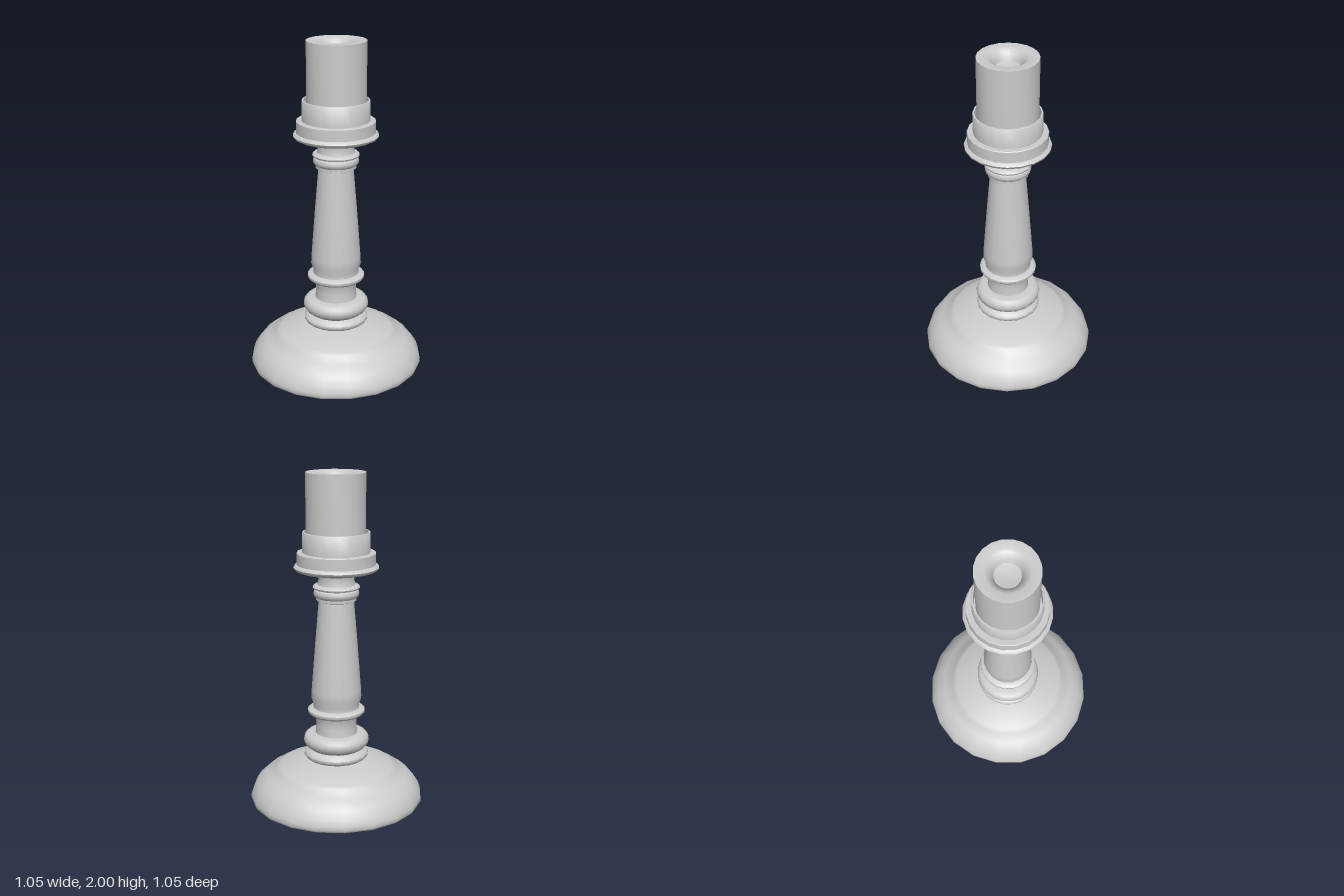
import * as THREE from 'three';
import { toCreasedNormals } from 'three/addons/utils/BufferGeometryUtils.js';

const SIDES = 20;

// Turns a [radius, height] profile, listed bottom to top on the outside
function turn(name, profile, material) {
  const points = profile.map(([r, y]) => new THREE.Vector2(r, y));
  const geometry = toCreasedNormals(new THREE.LatheGeometry(points, SIDES), 0.75);
  const mesh = new THREE.Mesh(geometry, material);
  mesh.name = name;
  return mesh;
}

export function createModel() {
  const group = new THREE.Group();
  group.name = 'candlestick';
  const material = new THREE.MeshStandardMaterial({ color: 0xcccccc, side: THREE.DoubleSide });

  // Domed foot with a rounded rim and a shallow hollow underneath
  group.add(turn('foot', [
    [0, 0.1], [0.2, 0.092], [0.34, 0.07], [0.42, 0.042], [0.46, 0.018], [0.485, 0.006],
    [0.505, 0], [0.52, 0.006], [0.527, 0.02], [0.525, 0.042], [0.511, 0.08], [0.482, 0.125],
    [0.43, 0.17], [0.376, 0.197], [0.37, 0.208], [0.345, 0.22],
    [0.19, 0.272], [0.14, 0.274],
  ], material));

  // Two rounded rings at the bottom of the stem
  group.add(turn('lowerRing', [
    [0.14, 0.268], [0.172, 0.27], [0.187, 0.28], [0.195, 0.292], [0.195, 0.306],
    [0.183, 0.32], [0.155, 0.334],
  ], material));
  group.add(turn('stemBulge', [
    [0.14, 0.33], [0.16, 0.334], [0.182, 0.35], [0.196, 0.37], [0.199, 0.39], [0.194, 0.41],
    [0.18, 0.426], [0.163, 0.432], [0.12, 0.434],
  ], material));

  // Turned stem with its collar, taper and neck rings
  group.add(turn('stem', [
    [0.128, 0.43], [0.122, 0.48], [0.124, 0.52], [0.132, 0.548],
    [0.16, 0.552], [0.173, 0.566], [0.173, 0.58], [0.16, 0.59], [0.14, 0.594],
    [0.138, 0.615], [0.152, 0.655], [0.15, 0.7], [0.128, 0.98], [0.105, 1.25],
    [0.12, 1.256], [0.12, 1.272], [0.132, 1.282], [0.136, 1.3], [0.13, 1.315],
    [0.118, 1.32], [0.135, 1.325], [0.14, 1.335], [0.132, 1.345], [0.112, 1.35],
    [0.105, 1.38], [0.11, 1.42], [0.116, 1.432],
  ], material));

  // Drip plate
  group.add(turn('dripPlate', [
    [0.1, 1.428], [0.225, 1.43], [0.246, 1.44], [0.252, 1.453], [0.243, 1.466],
    [0.233, 1.47], [0.233, 1.536], [0.229, 1.54], [0.19, 1.54],
  ], material));

  // Thin-walled cup holding the candle
  group.add(turn('candleCup', [
    [0.199, 1.535], [0.199, 1.656], [0.196, 1.66], [0.188, 1.66], [0.188, 1.545], [0, 1.545],
  ], material));

  // Candle, slightly off centre, with a melted hollow in its top
  const candle = turn('candle', [
    [0, 1.55], [0.175, 1.55], [0.175, 2], [0.122, 2], [0.108, 1.993],
    [0.092, 1.978], [0.08, 1.96], [0.072, 1.938], [0.035, 1.93], [0, 1.928],
  ], material);
  candle.position.set(0.003, 0, -0.001);
  group.add(candle);

  return group;
}
